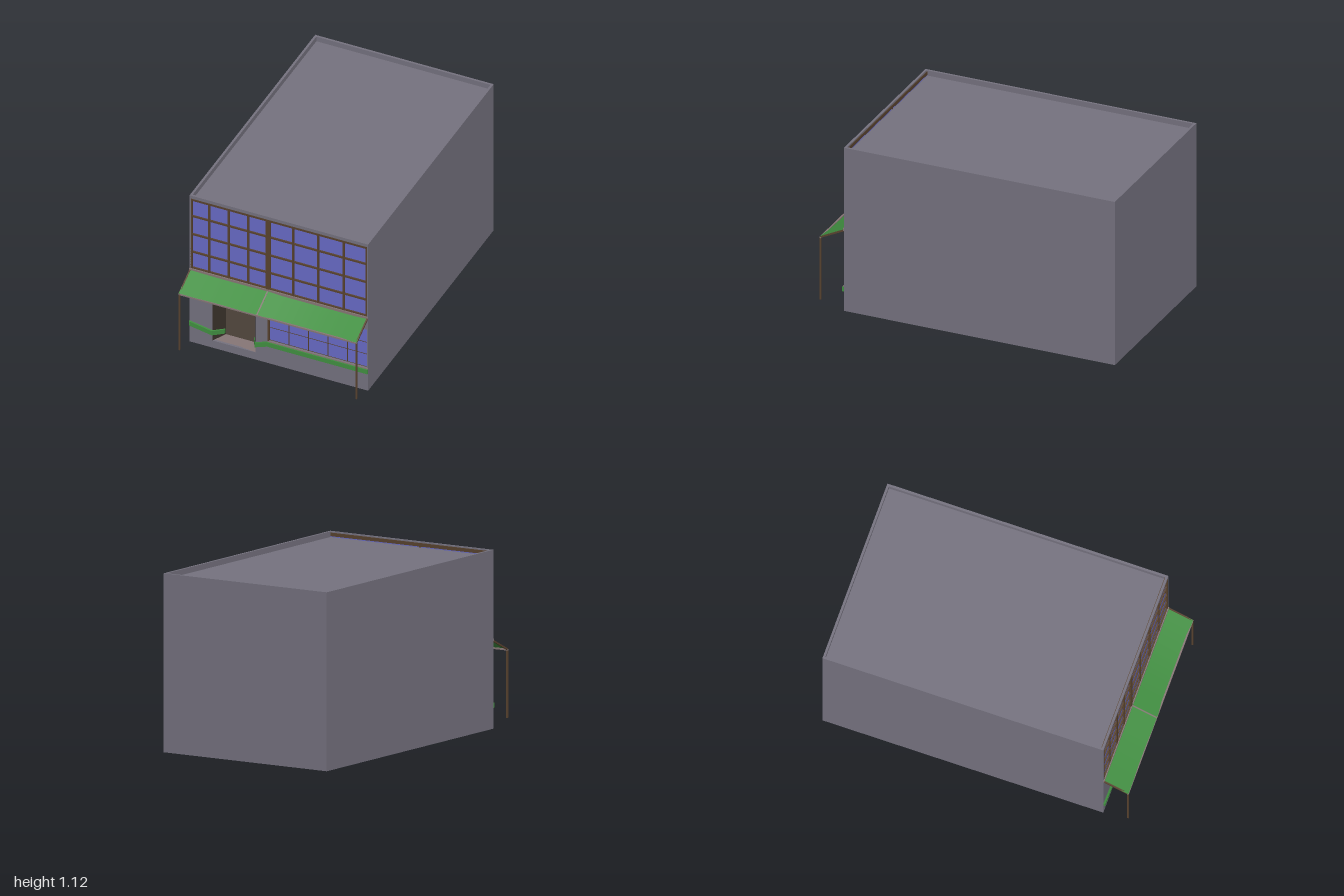
import * as THREE from 'three';

const mat = (name, color, side = THREE.FrontSide) => {
  const m = new THREE.MeshStandardMaterial({ color, side });
  m.name = name;
  return m;
};

export function createModel() {
  const root = new THREE.Group();
  root.name = 'shopBuilding';
  const D = THREE.DoubleSide;
  const wall = mat('grey wall', 0x75727f);
  const glass = mat('blue glass', 0x686bc6);
  const green = mat('green', 0x419041, D);
  const frame = mat('brown frame', 0x59432f);
  const trim = mat('pale trim', 0x877776);
  const door = mat('door brown', 0x53483f, D);
  const jamb = mat('dark jamb', 0x383029, D);

  const add = (name, geo, m, parent = root) => {
    const mesh = new THREE.Mesh(geo, m);
    mesh.name = name;
    parent.add(mesh);
    return mesh;
  };
  // Box given by its two extreme corners
  const box = (name, m, x0, x1, y0, y1, z0, z1, parent) => {
    const mesh = add(name, new THREE.BoxGeometry(x1 - x0, y1 - y0, z1 - z0), m, parent);
    mesh.position.set((x0 + x1) / 2, (y0 + y1) / 2, (z0 + z1) / 2);
    return mesh;
  };
  // Flat-shaded surface from a list of four-cornered faces
  const quads = (list) => {
    const pos = [];
    for (const [a, b, c, d] of list) pos.push(...a, ...b, ...c, ...a, ...c, ...d);
    const g = new THREE.BufferGeometry();
    g.setAttribute('position', new THREE.Float32BufferAttribute(pos, 3));
    g.computeVertexNormals();
    return g;
  };

  const W = 0.607, H = 1.12, F = 0.835, T = 0.015, roofY = 1.085;

  // Shell: side walls, back wall, floor slab and sunken roof
  for (const s of [-1, 1])
    box(s > 0 ? 'leftWall' : 'rightWall', wall, s > 0 ? W - T : -W, s > 0 ? W : -W + T, 0, H, -1, F - T);
  box('backWall', wall, -W + T, W - T, 0, H, -1, -1 + T);
  box('floorSlab', wall, -W + T, W - T, 0, 0.01, -1 + T, F - T);
  box('roof', wall, -W + T, W - T, roofY - 0.01, roofY, -1 + T, F - T);
  box('parapetLining', frame, -W + T, W - T, roofY, H - 0.008, F - T - 0.004, F - T);

  // Front wall with openings for the windows and the doorway
  const rect = (C, x0, x1, y0, y1) => {
    const p = new C();
    p.moveTo(x0, y0);
    p.lineTo(x1, y0);
    p.lineTo(x1, y1);
    p.lineTo(x0, y1);
    p.closePath();
    return p;
  };
  const windows = [
    { name: 'upperRightWindow', x: [-0.598, -0.083], y: [0.565, 1.09], cols: [-0.475, -0.342, -0.21], rows: [0.69, 0.825, 0.963], t: 0.011, out: 0 },
    { name: 'upperLeftWindow', x: [-0.067, 0.598], y: [0.565, 1.09], cols: [0.095, 0.265, 0.44], rows: [0.69, 0.825, 0.963], t: 0.011, out: 0 },
    { name: 'lowerWindow', x: [-0.067, 0.598], y: [0.172, 0.465], cols: [0.065, 0.197, 0.33, 0.462], rows: [0.27, 0.36], t: 0.004, out: -0.009 },
  ];
  const front = rect(THREE.Shape, -W, W, 0, H);
  for (const w of windows) front.holes.push(rect(THREE.Path, ...w.x, ...w.y));
  front.holes.push(rect(THREE.Path, -0.45, -0.16, 0.055, 0.445));
  add('frontWall', new THREE.ExtrudeGeometry(front, { depth: T, bevelEnabled: false }), wall).position.z = F - T;

  // Glass, mullions and edge frames
  for (const w of windows) {
    const g = new THREE.Group();
    g.name = w.name;
    root.add(g);
    const [x0, x1] = w.x, [y0, y1] = w.y, h = w.t / 2, zb = F - T, zf = F + w.out;
    box('glass', glass, x0, x1, y0, y1, zb - 0.005, F - 0.011, g);
    const e = w.t * 0.6;
    for (const x of [x0 + e / 2, ...w.cols, x1 - e / 2]) box('mullion', frame, x - h, x + h, y0, y1, zb, zf, g);
    for (const y of [y0 + e / 2, ...w.rows, y1 - e / 2]) box('transom', frame, x0, x1, y - h, y + h, zb, zf - 0.001, g);
  }
  box('centrePost', frame, -0.083, -0.067, 0.565, 1.09, F, F + 0.003);
  box('topRail', frame, -0.598, 0.598, 1.09, 1.098, F, F + 0.002);
  box('lowerWindowPost', frame, -0.075, -0.066, 0.172, 0.465, F - T, F + 0.003);
  box('lowerSill', trim, -0.075, 0.607, 0.165, 0.172, F, F + 0.005);

  // Doorway: tapered recess with a flat back panel
  const zi = F - 0.095;
  const o = [[-0.45, 0.055, F], [-0.16, 0.055, F], [-0.16, 0.445, F], [-0.45, 0.445, F]];
  const n = [[-0.405, 0.055, zi], [-0.205, 0.055, zi], [-0.205, 0.36, zi], [-0.405, 0.36, zi]];
  add('doorJambs', quads([[o[1], n[1], n[2], o[2]], [o[2], n[2], n[3], o[3]], [o[3], n[3], n[0], o[0]]]), jamb);
  add('door', quads([n]), door);
  add('doorStep', quads([[o[0], o[1], n[1], n[0]]]), trim);

  // Green band that dips into the doorway on both sides
  const band = (name, pts) => {
    const h = 0.016, d = 0.012, faces = [];
    const ring = ([x, y, z]) => [[x, y - h, z], [x, y - h, z + d], [x, y + h, z + d], [x, y + h, z]];
    const rings = pts.map(ring);
    for (let i = 0; i < rings.length - 1; i++)
      for (let k = 0; k < 4; k++) {
        const j = (k + 1) % 4;
        faces.push([rings[i][k], rings[i + 1][k], rings[i + 1][j], rings[i][j]]);
      }
    faces.push([...rings[0]].reverse(), rings[rings.length - 1]);
    add(name, quads(faces), green);
  };
  band('rightBand', [[-W, 0.146, F], [-0.45, 0.118, F], [-0.405, 0.085, zi + 0.005]]);
  band('leftBand', [[-0.205, 0.085, zi + 0.005], [-0.16, 0.117, F], [-0.075, 0.149, F], [W, 0.149, F]]);

  // Awning: two cloth panels sagging slightly between wall and front rail
  const awning = new THREE.Group();
  awning.name = 'awning';
  root.add(awning);
  const cloth = (name, x0, x1, sag) => {
    const g = new THREE.PlaneGeometry(1, 1, 12, 4), p = g.attributes.position;
    for (let i = 0; i < p.count; i++) {
      const u = p.getX(i) + 0.5, v = 0.5 - p.getY(i);
      const y = 0.556 - 0.078 * v - sag * Math.sin(Math.PI * u);
      p.setXYZ(i, x0 + (x1 - x0) * u, y, F + 0.163 * v);
    }
    g.computeVertexNormals();
    add(name, g, green, awning);
  };
  cloth('rightCloth', -0.605, -0.078, 0.004);
  cloth('leftCloth', -0.07, 0.605, 0.013);
  box('wallRail', trim, -W, W, 0.548, 0.565, F, F + 0.006, awning);
  box('frontRail', trim, -W, W, 0.466, 0.476, 0.99, 1, awning);

  // Sloping rafters at the ends and middle, posts at the front corners
  const slope = Math.atan2(0.078, 0.16), len = Math.hypot(0.078, 0.16);
  for (const x of [-0.602, -0.074, 0.602]) {
    const r = add('rafter', new THREE.BoxGeometry(0.009, 0.01, len), x === -0.074 ? trim : frame, awning);
    r.position.set(x, 0.512, F + 0.081);
    r.rotation.x = slope;
  }
  for (const s of [-1, 1])
    box('post', frame, s * 0.602 - 0.005, s * 0.602 + 0.005, 0.045, 0.472, 0.99, 1, awning);

  return root;
}
